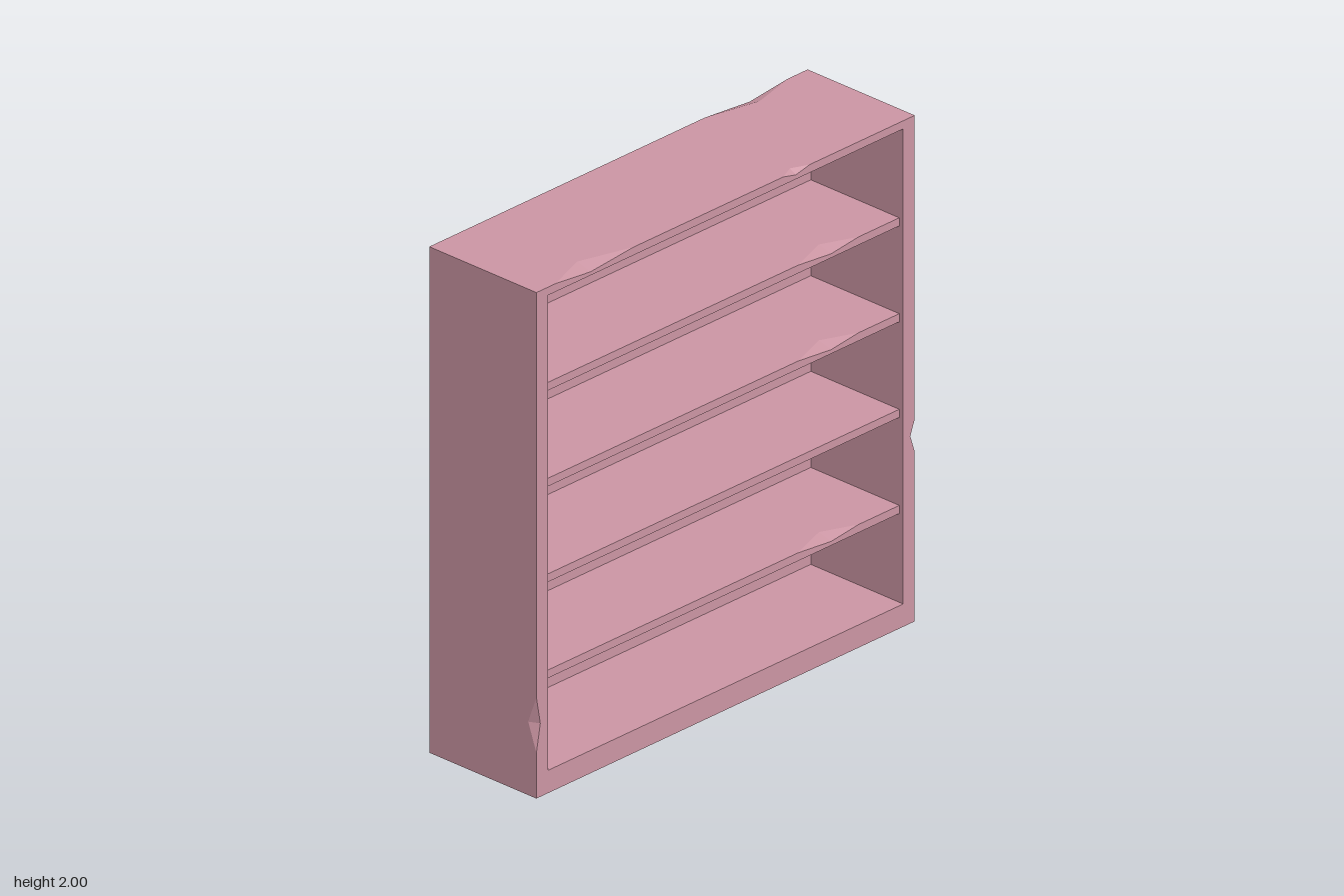
import * as THREE from 'three';

const material = new THREE.MeshStandardMaterial({ color: 0xcc96a4, flatShading: true });

// Flat face across one axis, wound to face along sign; outline and hole are 3D points
function addFace(out, outline, holes, axis, sign) {
  const [u, v] = [0, 1, 2].filter(i => i !== axis);
  const flat = p => new THREE.Vector2(p[u], p[v]);
  const tris = THREE.ShapeUtils.triangulateShape(outline.map(flat), holes.map(h => h.map(flat)));
  const all = outline.concat(...holes);
  const facing = [0, 0, 0];
  facing[axis] = sign;
  for (const t of tris) addTriangle(out, t.map(i => all[i]), facing);
}

function addTriangle(out, pts, facing) {
  const [a, b, c] = pts.map(p => new THREE.Vector3(...p));
  const n = b.clone().sub(a).cross(c.clone().sub(a));
  const order = n.dot(new THREE.Vector3(...facing)) < 0 ? [a, c, b] : [a, b, c];
  for (const p of order) out.push(p.x, p.y, p.z);
}

// Box with chipped edges. A chip runs along an axis from/peak/to and
// bites into two sides, each given as [axis, sign, inset].
function chippedBox(min, max, chips, frontHole) {
  const out = [];
  const bound = (axis, sign) => (sign > 0 ? max : min)[axis];
  const chipPoint = (chip, at, insetSide) => {
    const p = [0, 0, 0];
    p[chip.axis] = at;
    for (const side of chip.sides) {
      p[side[0]] = bound(side[0], side[1]) - (side === insetSide ? side[1] * side[2] : 0);
    }
    return p;
  };

  for (let axis = 0; axis < 3; axis++) for (const sign of [-1, 1]) {
    const [u, v] = [0, 1, 2].filter(i => i !== axis);
    const outline = [];
    // each edge: running axis, direction, fixed axis, fixed side
    for (const [run, dir, fix, side] of [[u, 1, v, -1], [v, 1, u, 1], [u, -1, v, 1], [v, -1, u, -1]]) {
      const corner = [0, 0, 0];
      corner[axis] = bound(axis, sign);
      corner[run] = bound(run, -dir);
      corner[fix] = bound(fix, side);
      outline.push(corner);
      const here = chips.filter(c => c.axis === run
        && c.sides.some(s => s[0] === axis && s[1] === sign)
        && c.sides.some(s => s[0] === fix && s[1] === side));
      here.sort((a, b) => dir * (a.peak - b.peak));
      for (const c of here) {
        const inset = c.sides.find(s => s[0] === fix);
        const pts = [chipPoint(c, c.from), chipPoint(c, c.peak, inset), chipPoint(c, c.to)];
        outline.push(...(dir > 0 ? pts : pts.reverse()));
      }
    }
    addFace(out, outline, axis === 2 && sign > 0 && frontHole ? [frontHole] : [], axis, sign);
  }

  // the two facets of every chip
  for (const c of chips) {
    const facing = [0, 0, 0];
    for (const s of c.sides) facing[s[0]] = s[1];
    const p = chipPoint(c, c.peak, c.sides[0]), q = chipPoint(c, c.peak, c.sides[1]);
    for (const end of [c.from, c.to]) addTriangle(out, [chipPoint(c, end), p, q], facing);
  }
  const geo = new THREE.BufferGeometry();
  geo.setAttribute('position', new THREE.Float32BufferAttribute(out, 3));
  geo.computeVertexNormals();
  return geo;
}

export function createModel() {
  const group = new THREE.Group();
  const add = (name, geometry) => {
    const mesh = new THREE.Mesh(geometry, material);
    mesh.name = name;
    group.add(mesh);
  };
  const X = 0, Y = 1, Z = 2;
  const W = 0.967, D = 0.262;                          // half width, half depth
  const inX = 0.908, inLow = 0.09, inHigh = 1.968, inBack = -0.19;

  // Outer case with worn edges and the front opening
  const caseChips = [
    { axis: X, from: -0.87, peak: -0.69, to: -0.47, sides: [[Y, 1, 0.018], [Z, 1, 0.065]] },
    { axis: X, from: 0.295, peak: 0.36, to: 0.43, sides: [[Y, 1, 0.015], [Z, 1, 0.03]] },
    { axis: X, from: 0.44, peak: 0.67, to: 0.87, sides: [[Y, 1, 0.02], [Z, -1, 0.05]] },
    { axis: Y, from: 0.18, peak: 0.29, to: 0.40, sides: [[X, -1, 0.02], [Z, 1, 0.04]] },
    { axis: Y, from: 0.67, peak: 0.74, to: 0.80, sides: [[X, 1, 0.023], [Z, 1, 0.05]] },
  ];
  const opening = [[-inX, inLow, D], [inX, inLow, D], [inX, inHigh, D], [-inX, inHigh, D]];
  add('case', chippedBox([-W, 0, -D], [W, 2, D], caseChips, opening));

  // Inside walls: a box turned inside out, without its front
  const box = new THREE.BoxGeometry(2 * inX, inHigh - inLow, D - inBack);
  box.setIndex([...box.index.array].filter((_, i) => i < 24 || i >= 30));
  box.scale(-1, 1, 1);
  box.translate(0, (inHigh + inLow) / 2, (D + inBack) / 2);
  const lining = box.toNonIndexed();
  lining.clearGroups();
  lining.computeVertexNormals();
  add('interior', lining);

  // Shelves, all but one with a chipped front edge
  [0.473, 0.853, 1.231, 1.61].forEach((top, i) => {
    const chips = i === 1 ? [] : [
      { axis: X, from: 0.39, peak: 0.56, to: 0.70, sides: [[Y, 1, 0.016], [Z, 1, 0.06]] },
    ];
    add('shelf' + (i + 1), chippedBox([-inX, top - 0.032, inBack], [inX, top, 0.243], chips));
  });
  return group;
}
